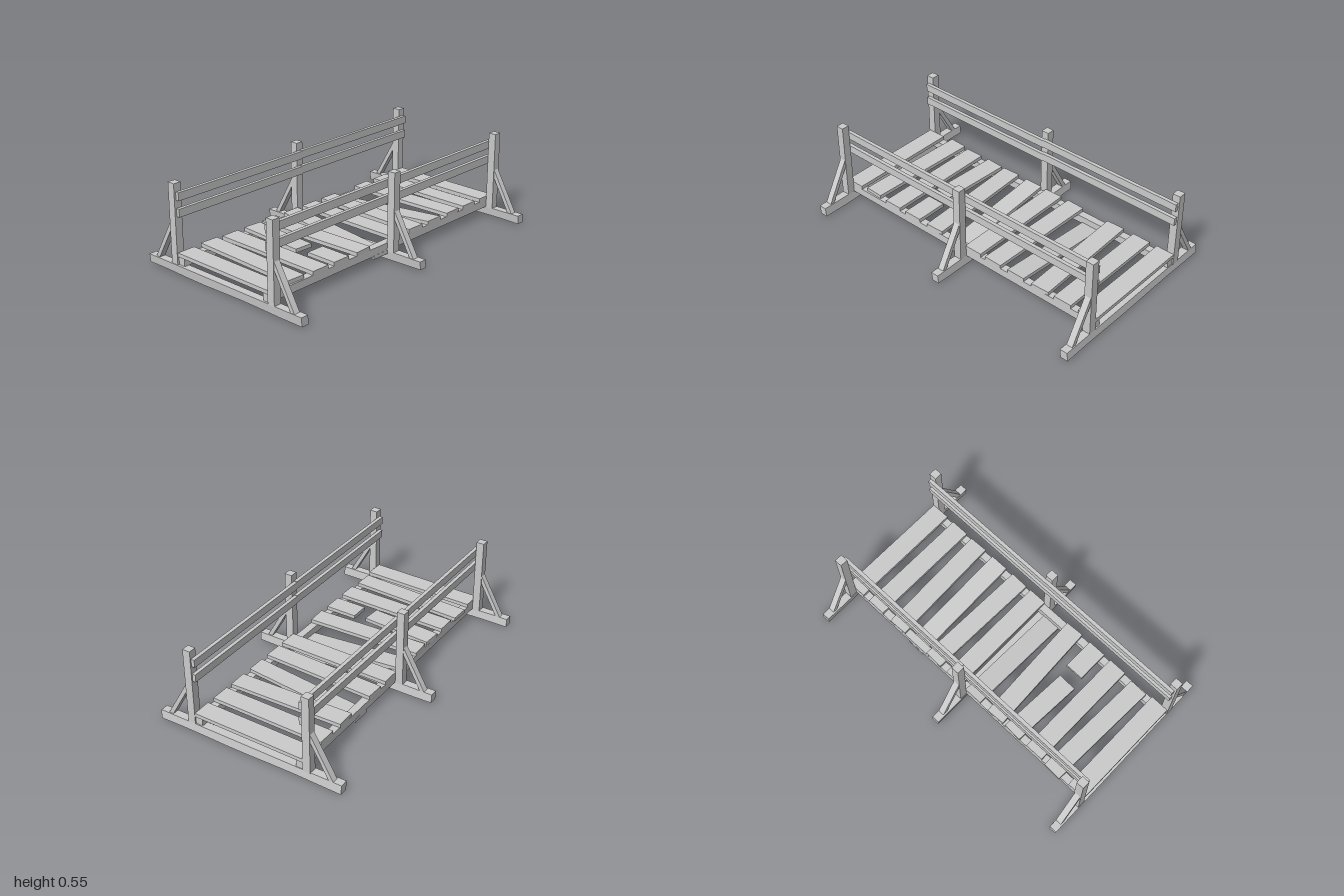
import * as THREE from 'three';

const wood = new THREE.MeshStandardMaterial({ color: 0xcccccc, flatShading: true, side: THREE.DoubleSide });

function add(group, name, geometry, x = 0, y = 0, z = 0) {
  const mesh = new THREE.Mesh(geometry, wood);
  mesh.name = name;
  mesh.position.set(x, y, z);
  group.add(mesh);
  return mesh;
}

// Rough-hewn sleeper: a segmented box whose underside and sides waver slightly
function sleeperGeometry(phase) {
  const g = new THREE.BoxGeometry(1.24, 0.055, 0.05, 8, 1, 1);
  const p = g.attributes.position;
  for (let i = 0; i < p.count; i++) {
    const x = p.getX(i), low = p.getY(i) < 0;
    p.setY(i, p.getY(i) + (low ? 0.003 * Math.sin(x * 9 + phase) : 0));
    p.setZ(i, p.getZ(i) - x * 0.006 + (low ? -0.004 : 0.002));
  }
  return g;
}

// Board lying between two ends, each end given as [x, y, z] of its centre
function plank(group, name, a, b) {
  const thick = 0.012, half = 0.061;
  const g = new THREE.BoxGeometry(1, thick * 2, half * 2);
  const p = g.attributes.position;
  for (let i = 0; i < p.count; i++) {
    const end = p.getX(i) < 0 ? a : b;
    const slope = (b[2] - a[2]) / (b[0] - a[0]);
    p.setXYZ(i, end[0] - slope * p.getZ(i), end[1] + p.getY(i), end[2] + p.getZ(i));
  }
  add(group, name, g);
}

export function createModel() {
  const bridge = new THREE.Group();
  bridge.name = 'footbridge';
  const frameZ = [0.972, 0, -0.968];

  // Diagonal brace outline, for the +x side
  const braceShape = new THREE.Shape([
    new THREE.Vector2(0.57, 0.055), new THREE.Vector2(0.42, 0.32),
    new THREE.Vector2(0.42, 0.268), new THREE.Vector2(0.54, 0.055),
  ]);

  // Three frames: sleeper, posts and braces
  frameZ.forEach((z, i) => {
    const frame = new THREE.Group();
    frame.name = 'frame' + (i + 1);
    frame.position.z = z;
    add(frame, 'sleeper', sleeperGeometry(i * 2), 0, 0.0325, 0);
    for (const s of [1, -1]) {
      const side = s > 0 ? 'left' : 'right';
      add(frame, side + 'Post', new THREE.BoxGeometry(0.05, 0.5, 0.05), s * 0.396, 0.306, 0);
      const brace = new THREE.ExtrudeGeometry(braceShape, { depth: 0.04, bevelEnabled: false });
      brace.translate(0, 0, -0.02);
      if (s < 0) brace.rotateY(Math.PI);
      add(frame, side + 'Brace', brace);
    }
    bridge.add(frame);
  });

  // Stringers under the deck, and two handrails on each side
  for (const s of [1, -1]) {
    const side = s > 0 ? 'left' : 'right';
    add(bridge, side + 'Stringer', new THREE.BoxGeometry(0.048, 0.05, 1.97), s * 0.348, 0.085, 0);
    [0.382, 0.481].forEach((y, k) => {
      for (const h of [1, -1]) {
        add(bridge, side + (k ? 'UpperRail' : 'LowerRail'),
          new THREE.BoxGeometry(0.023, 0.05, 0.985), s * 0.3605, y + h * s * 0.002, h * 0.4925);
      }
    });
  }

  // Deck planks: z at the -x end, z at the +x end, and how far each end has dropped
  const planks = [
    [-0.93, -0.93], [-0.757, -0.757], [-0.565, -0.593], [-0.41, -0.41, 0.07, 0],
    [-0.255, -0.235], [-0.08, -0.08], [0.082, 0.082, 0, 0.07], [0.27, 0.235],
    [0.59, 0.59], [0.745, 0.772], [0.93, 0.93],
  ];
  const deck = new THREE.Group();
  deck.name = 'deck';
  const top = 0.122;
  planks.forEach(([za, zb, da = 0, db = 0], i) => {
    const shift = i === 9 ? -0.012 : 0;
    plank(deck, 'plank', [-0.373 + shift, top - da, za], [0.373 + shift, top - db, zb]);
  });
  // Broken plank in two pieces
  plank(deck, 'brokenPlankLong', [-0.373, top, 0.41], [0.088, top, 0.435]);
  plank(deck, 'brokenPlankShort', [0.165, top, 0.42], [0.373, top, 0.42]);
  bridge.add(deck);

  return bridge;
}
